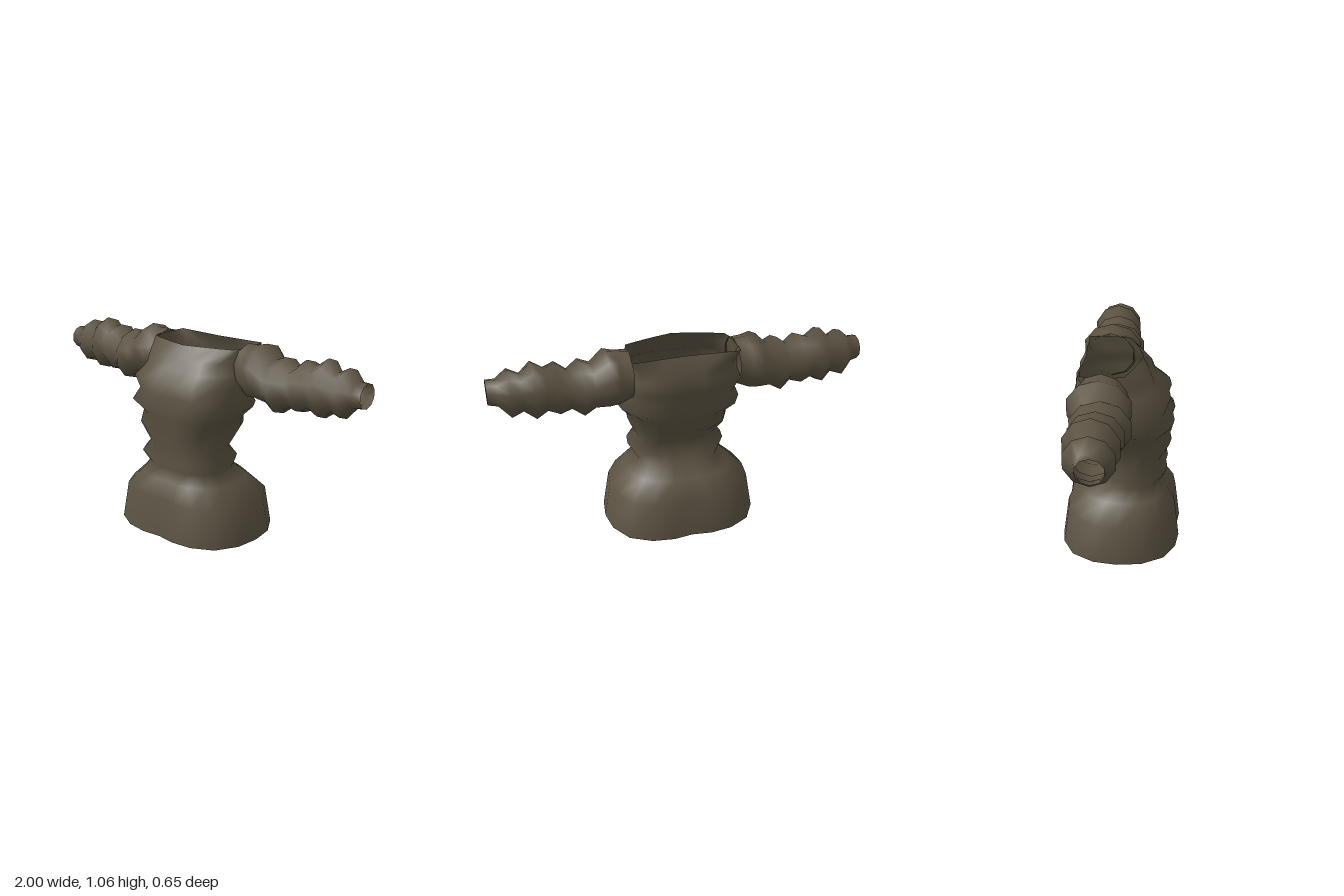
import * as THREE from 'three';

// Joins equal-sized rings of points into an open, smooth skin
function loft(rings) {
  const n = rings[0].length, index = [];
  for (let r = 0; r < rings.length - 1; r++) {
    for (let i = 0; i < n; i++) {
      const a = r * n + i, b = r * n + (i + 1) % n;
      index.push(a, b, b + n, a, b + n, a + n);
    }
  }
  const g = new THREE.BufferGeometry();
  g.setAttribute('position', new THREE.Float32BufferAttribute(rings.flat(2), 3));
  g.setIndex(index);
  g.computeVertexNormals();
  return g;
}

// Completes a ring from its +x half, listed front to back as [x, z]
function mirrorRing(half, y) {
  const right = half.map(([x, z]) => [x, y, z]);
  const left = half.slice(1, -1).reverse().map(([x, z]) => [-x, y, z]);
  return [...right, ...left];
}

// Squarish oval, slightly dimpled on the centre line
const quarter = [[0, 0.96], [0.25, 1], [0.53, 0.95], [0.8, 0.76], [0.96, 0.4], [1, 0]];
const oval = [...quarter, ...quarter.slice(0, -1).reverse().map(([x, z]) => [x, -z])];

// Garment sections: y, half width, front z, back z
const sections = [
  [0, 0.425, 0.325, -0.325], [0.21, 0.39, 0.298, -0.295], [0.3, 0.29, 0.25, -0.21],
  [0.36, 0.235, 0.218, -0.13], [0.42, 0.27, 0.25, -0.135], [0.48, 0.225, 0.21, -0.095],
  [0.59, 0.27, 0.27, -0.195], [0.65, 0.275, 0.235, -0.185], [0.71, 0.335, 0.283, -0.24],
  [0.77, 0.31, 0.235, -0.21], [0.84, 0.335, 0.26, -0.255], [0.9, 0.305, 0.18, -0.24],
  [0.96, 0.3, 0.155, -0.235],
];

// Neckline: shallow point in front, straight at the back
const neckline = [[0, 0.11], [0.1, 0.085], [0.2, 0.055], [0.27, 0.03], [0.285, -0.02], [0.285, -0.08],
  [0.285, -0.14], [0.28, -0.205], [0.2, -0.2], [0.1, -0.195], [0, -0.19]];

// Sleeve sections: x, top y, bottom y, front z, back z
const sleeveSections = [
  [0.28, 1.045, 0.8, 0.04, -0.215], [0.35, 1.048, 0.765, 0.06, -0.22], [0.4, 1.06, 0.77, 0.075, -0.248],
  [0.47, 0.99, 0.762, 0.06, -0.205], [0.53, 1.015, 0.722, 0.085, -0.22], [0.59, 0.97, 0.768, 0.04, -0.182],
  [0.65, 1.02, 0.75, 0.06, -0.21], [0.71, 1.0, 0.775, 0.03, -0.185], [0.77, 1.045, 0.742, 0.052, -0.218],
  [0.83, 0.985, 0.785, 0.015, -0.165], [0.89, 1.018, 0.765, 0.04, -0.2], [0.95, 0.966, 0.83, 0.005, -0.145],
  [1, 0.966, 0.838, 0, -0.13],
];

function sleeveRings(side) {
  const sides = 10;
  return sleeveSections.map(([x, top, bottom, front, back]) =>
    Array.from({ length: sides }, (_, i) => {
      const a = side * i / sides * Math.PI * 2;
      return [
        side * x,
        (top + bottom) / 2 + Math.cos(a) * (top - bottom) / 2,
        (front + back) / 2 + Math.sin(a) * (front - back) / 2 * 1.04,
      ];
    }));
}

export function createModel() {
  const group = new THREE.Group();
  group.name = 'coat';
  const cloth = new THREE.MeshStandardMaterial({ color: 0x5b5242, side: THREE.DoubleSide });
  cloth.name = 'olive brown cloth';

  const add = (name, rings) => {
    const mesh = new THREE.Mesh(loft(rings), cloth);
    mesh.name = name;
    group.add(mesh);
  };

  // Body from open hem to neckline
  const bodyRings = sections.map(([y, w, front, back]) => {
    const mid = (front + back) / 2, depth = (front - back) / 2;
    return mirrorRing(oval.map(([x, z]) => [x * w, mid + z * depth]), y);
  });
  bodyRings.push(mirrorRing(neckline, 1.028));
  add('body', bodyRings);

  // Gathered sleeves, open at the cuffs
  add('leftSleeve', sleeveRings(1));
  add('rightSleeve', sleeveRings(-1));
  return group;
}
